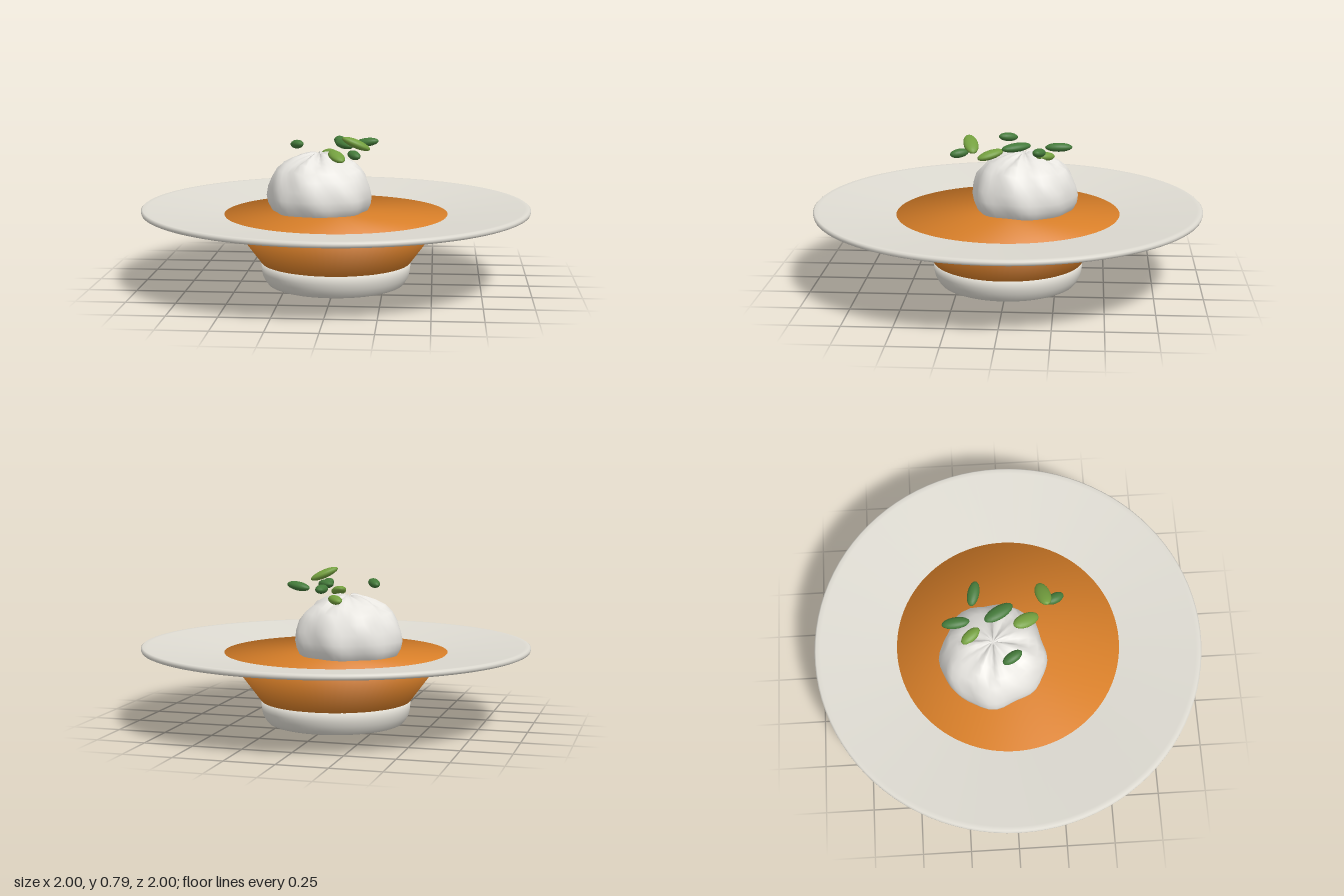
import * as THREE from 'three';
import { mergeVertices } from 'three/addons/utils/BufferGeometryUtils.js';

const mat = (name, color) => {
  const m = new THREE.MeshStandardMaterial({ color });
  m.name = name;
  return m;
};

// Share vertices so that shading runs smoothly over every edge
function weld(geometry) {
  geometry.deleteAttribute('normal');
  geometry.deleteAttribute('uv');
  const welded = mergeVertices(geometry, 1e-4);
  welded.computeVertexNormals();
  return welded;
}

const lathe = (points, segments) =>
  new THREE.LatheGeometry(points.map(([r, y]) => new THREE.Vector2(r, y)), segments);

// Pleated dumpling: a lathe with lumpy sides and twisted folds at the crown
function dumplingGeometry() {
  const geo = lathe([
    [0.2, 0.33], [0.245, 0.37], [0.265, 0.41], [0.272, 0.45], [0.265, 0.5], [0.247, 0.55],
    [0.22, 0.59], [0.18, 0.622], [0.13, 0.645], [0.085, 0.66], [0.045, 0.668], [0.02, 0.672], [0, 0.655],
  ], 44);
  const p = geo.attributes.position;
  for (let i = 0; i < p.count; i++) {
    const x = p.getX(i), y = p.getY(i), z = p.getZ(i);
    const r = Math.hypot(x, z), a = Math.atan2(z, x);
    const crown = THREE.MathUtils.smoothstep(y, 0.5, 0.66);
    const twist = a + crown * 0.7;
    const lumps = 0.025 * Math.sin(5 * a + 9 * y) + 0.02 * Math.sin(8 * a - 14 * y + 1);
    const fold = Math.abs(Math.sin(5.5 * twist)) + 0.5 * Math.sin(7 * twist + 2) - 0.6;
    const k = 1 + lumps + 0.05 * crown * fold;
    p.setXYZ(i, x * k, y + 0.016 * crown * fold * Math.min(1, r / 0.04), z * k);
  }
  return weld(geo);
}

export function createModel() {
  const group = new THREE.Group();
  const china = mat('china', 0xdedbd2);
  const soupColor = mat('orange soup', 0xda8029);
  const dough = mat('dough', 0xe9e7e2);
  const lightGreen = mat('light green', 0x74a03f);
  const darkGreen = mat('dark green', 0x447a3a);

  const add = (name, geometry, material) => {
    const mesh = new THREE.Mesh(geometry, material);
    mesh.name = name;
    group.add(mesh);
    return mesh;
  };

  // Wide sloping rim and foot of the plate
  add('rim', lathe([
    [0.48, 0.322], [0.54, 0.33], [0.985, 0.387], [0.997, 0.392], [1, 0.4],
    [1, 0.41], [0.992, 0.416], [0.97, 0.415], [0.58, 0.371], [0.48, 0.36],
  ], 96), china);
  add('foot', lathe([
    [0, 0], [0.34, 0], [0.352, 0.005], [0.366, 0.022], [0.38, 0.048], [0.386, 0.075], [0.389, 0.122], [0.3, 0.123],
  ], 72), china);

  // Soup body, softly shaded over its top edge
  const soup = add('soup', weld(new THREE.CylinderGeometry(0.577, 0.387, 0.256, 96)), soupColor);
  soup.position.y = 0.246;

  // Dumpling sitting off centre
  const dumpling = add('dumpling', dumplingGeometry(), dough);
  dumpling.position.set(-0.09, 0, -0.08);

  // Scattered seeds: position, long direction, length, width, colour
  const seeds = [
    [[0, 0.72, -0.26], [0.1, 0, 1], 0.14, 0.06, darkGreen],
    [[-0.05, 0.66, -0.19], [0.65, 0.1, 0.8], 0.115, 0.06, lightGreen],
    [[0.15, 0.722, -0.165], [1, 0.15, 0.25], 0.13, 0.06, darkGreen],
    [[-0.2, 0.73, 0.01], [0.5, 0.12, 0.85], 0.11, 0.055, darkGreen],
    [[0.04, 0.725, -0.045], [0.5, -0.05, 0.85], 0.165, 0.07, darkGreen],
    [[0.01, 0.678, 0.09], [0.45, -0.25, 0.9], 0.145, 0.075, lightGreen],
    [[0.115, 0.755, 0.18], [1, -0.45, -0.25], 0.155, 0.075, lightGreen],
    [[0.108, 0.706, 0.24], [0.45, -0.1, 0.85], 0.1, 0.055, darkGreen],
  ];
  const seedGeometry = new THREE.SphereGeometry(0.5, 18, 12);
  const up = new THREE.Vector3(0, 1, 0);
  for (const [pos, dir, length, width, material] of seeds) {
    const seed = add('seed', seedGeometry, material);
    const along = new THREE.Vector3(...dir).normalize();
    const side = along.clone().cross(up).normalize();
    const top = side.clone().cross(along);
    seed.quaternion.setFromRotationMatrix(new THREE.Matrix4().makeBasis(along, top, side));
    seed.scale.set(length, 0.045, width);
    seed.position.set(...pos);
  }
  return group;
}
